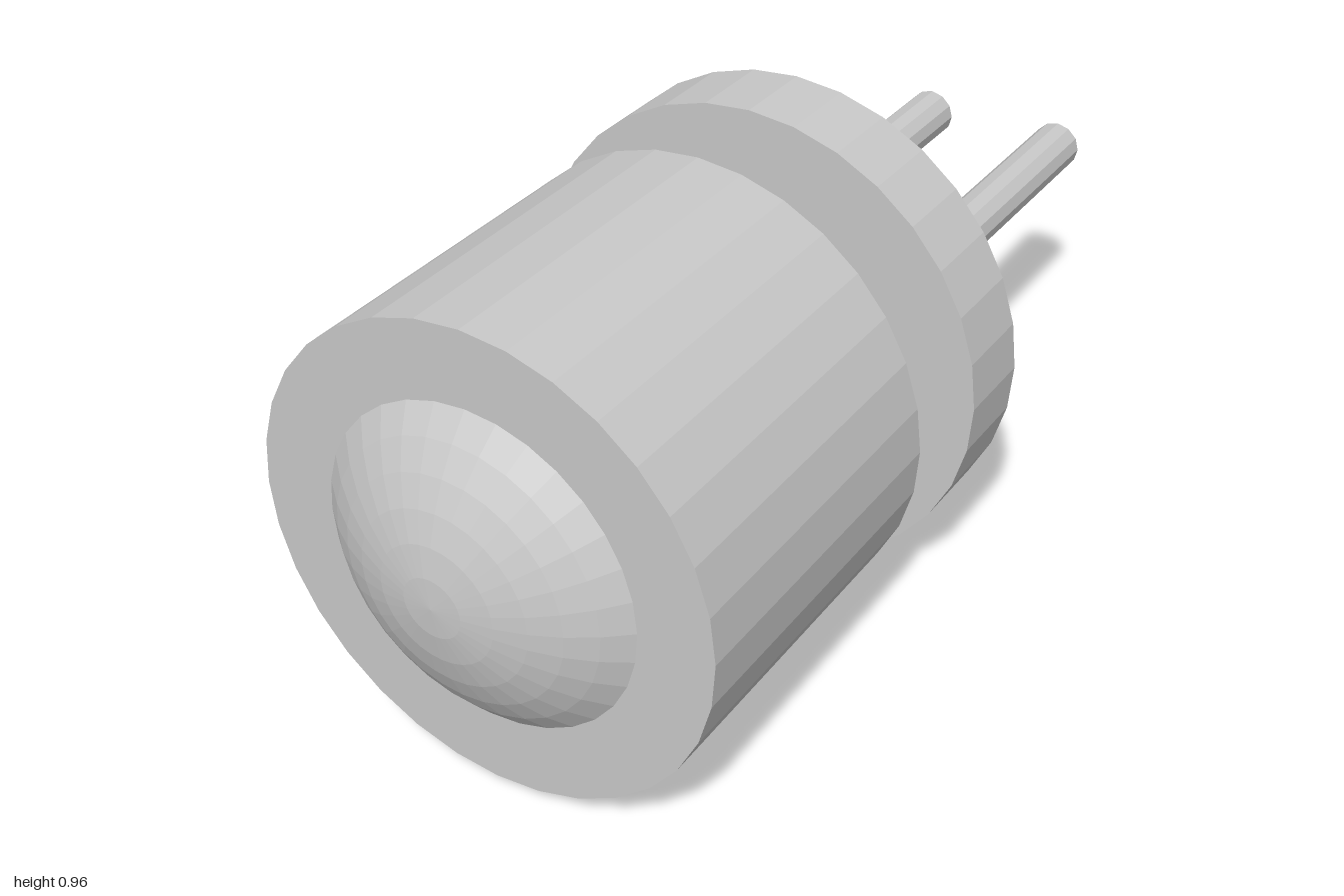
import * as THREE from 'three';

export function createModel() {
  const model = new THREE.Group();
  const grey = new THREE.MeshStandardMaterial({ color: 0xc8c8c8, flatShading: true });
  grey.name = 'light grey';
  const axisY = 0.479;

  // Cylinder lying along z between two depths
  function rod(name, radius, z0, z1, sides, x = 0) {
    const geometry = new THREE.CylinderGeometry(radius, radius, z1 - z0, sides);
    geometry.rotateX(Math.PI / 2);
    const mesh = new THREE.Mesh(geometry, grey);
    mesh.name = name;
    mesh.position.set(x, axisY, (z0 + z1) / 2);
    model.add(mesh);
  }

  rod('can', 0.458, 0.21, 0.875, 32);
  rod('basePlate', 0.479, -0.125, 0.042, 32);

  // Pair of contact pins
  for (const side of [1, -1]) {
    rod(side > 0 ? 'leftPin' : 'rightPin', 0.052, -1, -0.125, 12, side * 0.157);
  }

  // Domed lens: the cap of a sphere centred inside the can
  const radius = 0.458;
  const lensGeometry = new THREE.SphereGeometry(radius, 32, 6, 0, Math.PI * 2, 0, Math.asin(0.313 / radius));
  lensGeometry.rotateX(Math.PI / 2);
  const lens = new THREE.Mesh(lensGeometry, grey);
  lens.name = 'lens';
  lens.position.set(0, axisY, 1 - radius);
  model.add(lens);

  return model;
}
